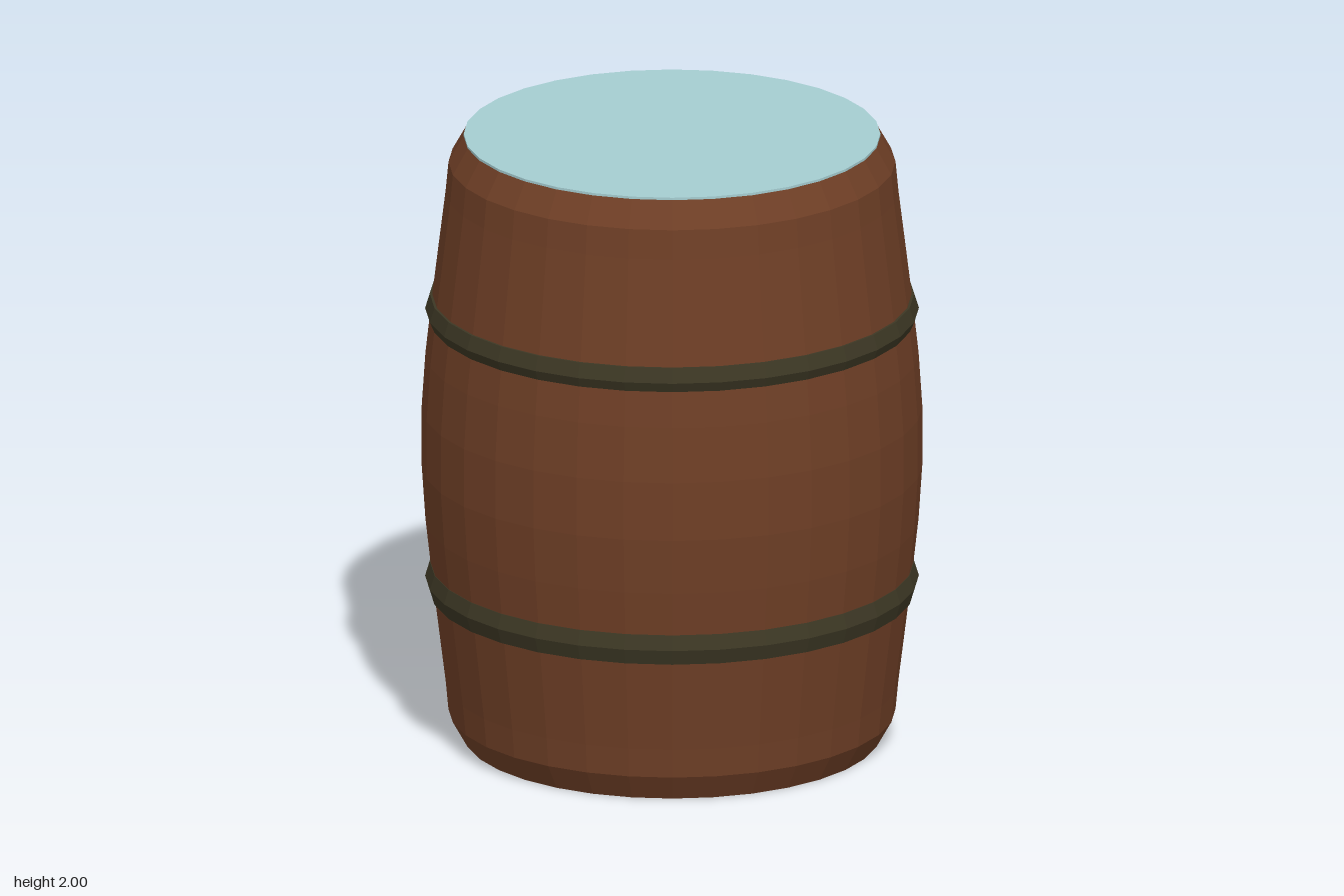
import * as THREE from 'three';

const SIDES = 32;

export function createModel() {
  const wood = new THREE.MeshStandardMaterial({ color: 0x6f3f26, flatShading: true });
  const hoopMetal = new THREE.MeshStandardMaterial({ color: 0x3c3724, flatShading: true });
  const water = new THREE.MeshStandardMaterial({ color: 0xa5cdd1, flatShading: true });
  wood.name = 'wood';
  hoopMetal.name = 'hoopMetal';
  water.name = 'water';

  const barrel = new THREE.Group();
  barrel.name = 'barrel';

  const add = (name, geometry, material) => {
    const mesh = new THREE.Mesh(geometry, material);
    mesh.name = name;
    barrel.add(mesh);
    return mesh;
  };
  const lathe = (points) =>
    new THREE.LatheGeometry(points.map(([r, y]) => new THREE.Vector2(r, y)), SIDES);

  // Bulging body: lower half of the profile, mirrored about mid height
  const top = 1.992;
  const lower = [[0, 0], [0.66, 0], [0.708, 0.085], [0.717, 0.18], [0.738, 0.35],
    [0.76, 0.53], [0.781, 0.72], [0.793, 0.9]];
  const upper = lower.map(([r, y]) => [r, top - y]).reverse();
  add('body', lathe([...lower, ...upper]), wood);

  // Ridged hoops, sunk into the body
  const hoop = (name, y, drop, rise) =>
    add(name, lathe([[0.74, y - drop], [0.767, y - drop], [0.782, y],
      [0.767, y + rise], [0.74, y + rise]]), hoopMetal);
  hoop('lowerHoop', 0.53, 0.05, 0.047);
  hoop('upperHoop', 1.42, 0.035, 0.047);

  // Thin disc of water level with the rim
  add('waterSurface', new THREE.CylinderGeometry(0.66, 0.66, 0.008, SIDES), water)
    .position.y = top + 0.004;

  return barrel;
}
